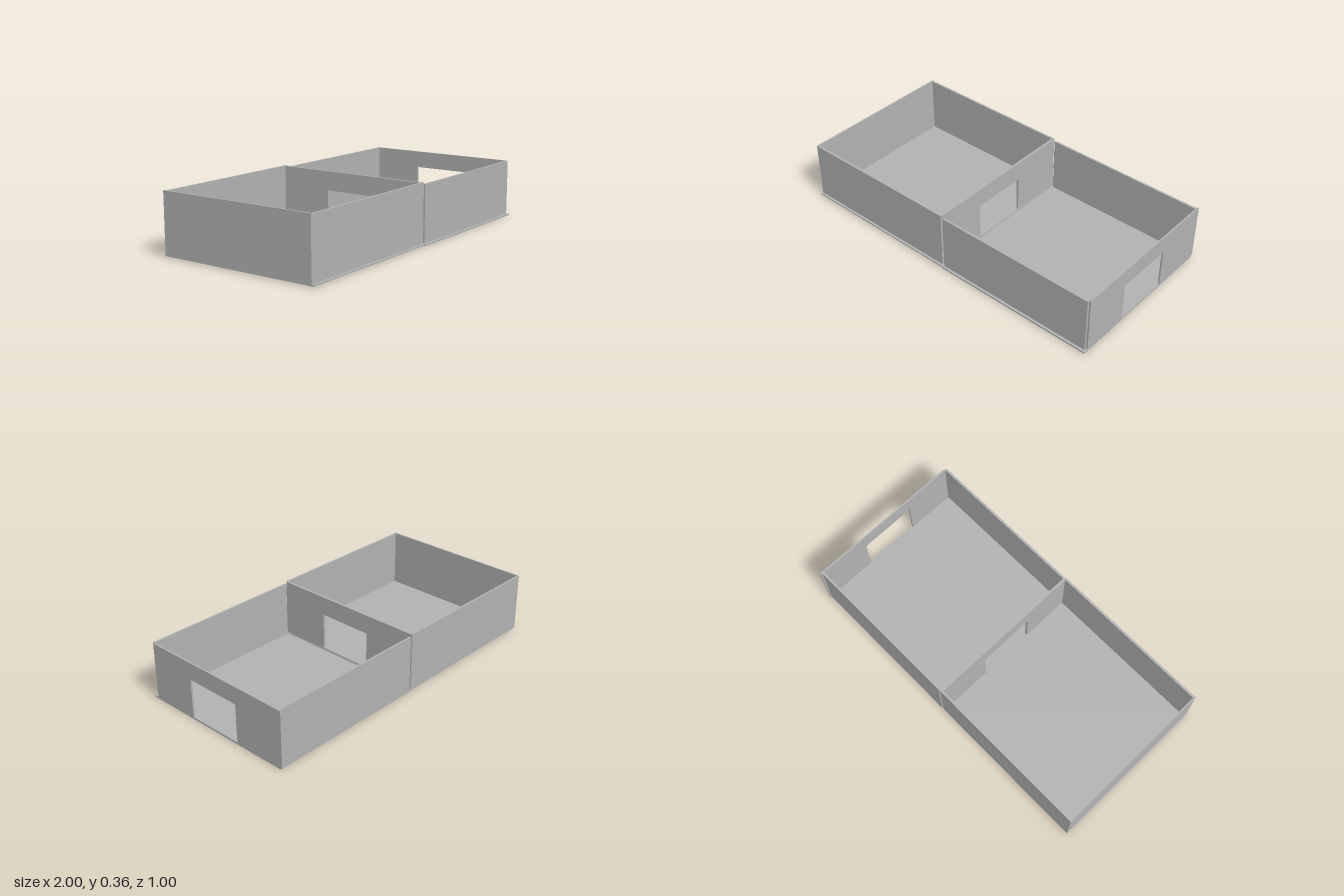
import * as THREE from 'three';

const grey = new THREE.MeshStandardMaterial({ color: 0xb2b2b2 });
grey.name = 'plainGrey';

// Box given by its limits on each axis
function slab(name, [x0, x1], [y0, y1], [z0, z1]) {
  const mesh = new THREE.Mesh(new THREE.BoxGeometry(x1 - x0, y1 - y0, z1 - z0), grey);
  mesh.position.set((x0 + x1) / 2, (y0 + y1) / 2, (z0 + z1) / 2);
  mesh.name = name;
  return mesh;
}

// Cross wall standing along z, with a rectangular opening
function wallWithOpening(name, [x0, x1], [y0, y1], [z0, z1], opening) {
  const rect = (path, a, b, c, d) =>
    path.moveTo(-a, c).lineTo(-a, d).lineTo(-b, d).lineTo(-b, c).closePath();
  const shape = new THREE.Shape();
  rect(shape, z0, z1, y0, y1);
  const hole = new THREE.Path();
  rect(hole, ...opening.z, ...opening.y);
  shape.holes.push(hole);
  const geometry = new THREE.ExtrudeGeometry(shape, { depth: x1 - x0, bevelEnabled: false });
  geometry.rotateY(Math.PI / 2);
  geometry.translate(x0, 0, 0);
  const mesh = new THREE.Mesh(geometry, grey);
  mesh.name = name;
  return mesh;
}

// Floor with a long wall at the front and back
function room(name, x, wallX, floorY, top) {
  const group = new THREE.Group();
  group.name = name;
  group.add(
    slab('floor', x, floorY, [-0.49, 0.5]),
    slab('frontWall', wallX, [floorY[1], top], [0.473, 0.486]),
    slab('backWall', wallX, [floorY[1], top], [-0.49, -0.478])
  );
  return group;
}

export function createModel() {
  const model = new THREE.Group();
  model.name = 'twoRooms';

  // Closed room, set slightly higher than its neighbour
  const closedRoom = room('closedRoom', [-1, 0.008], [-0.99, 0], [0.006, 0.014], 0.357);
  closedRoom.add(
    slab('endWall', [-1, -0.99], [0.014, 0.36], [-0.49, 0.486]),
    wallWithOpening('dividingWall', [-0.01, 0.004], [0.014, 0.355], [-0.488, 0.473],
      { y: [0.022, 0.242], z: [-0.16, 0.175] })
  );

  // Entrance room
  const entranceRoom = room('entranceRoom', [0.008, 1], [0.014, 0.99], [0, 0.01], 0.345);
  entranceRoom.add(
    wallWithOpening('entranceWall', [0.99, 1], [0.008, 0.345], [-0.5, 0.473],
      { y: [0.011, 0.242], z: [-0.172, 0.175] })
  );

  model.add(closedRoom, entranceRoom);
  return model;
}
